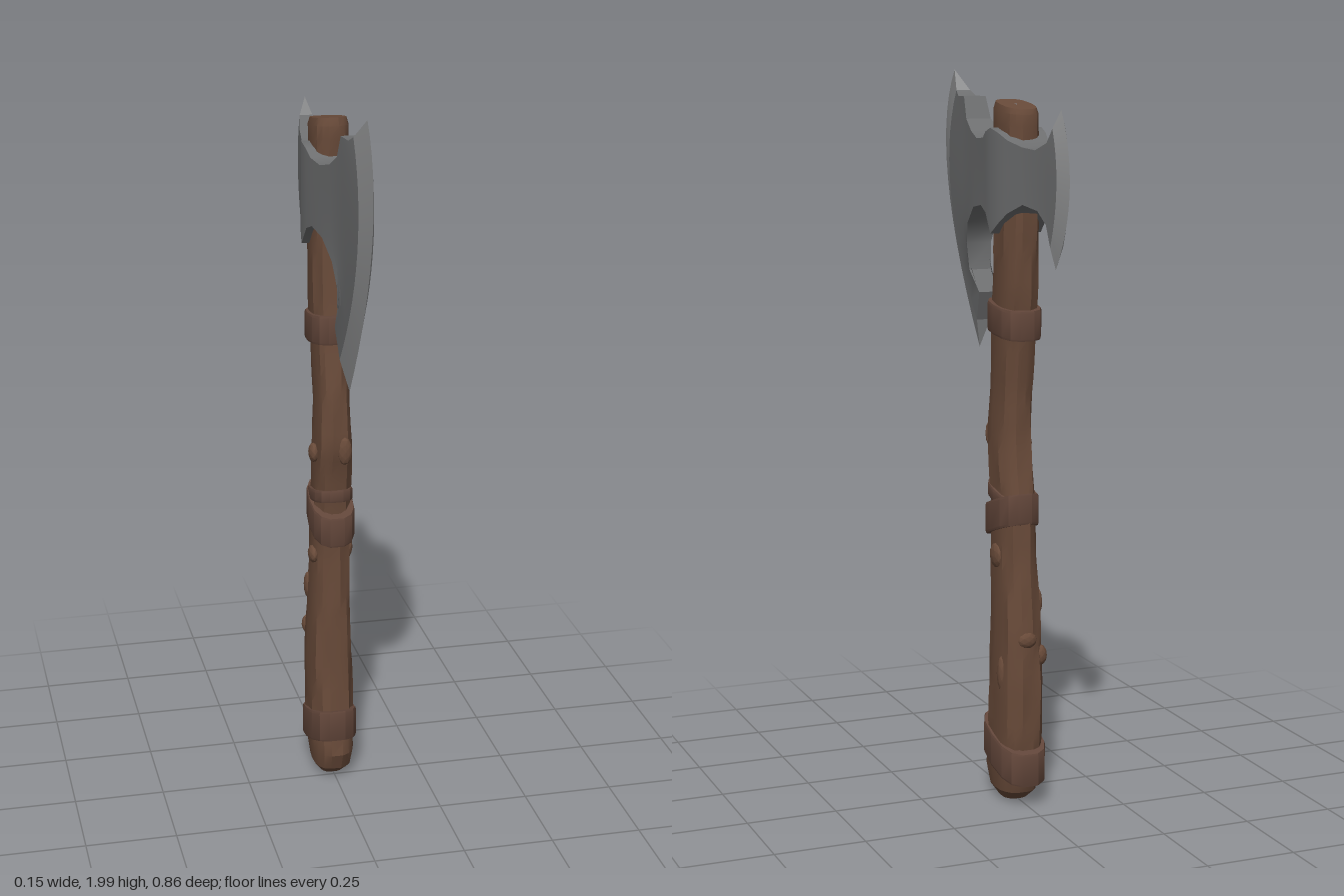
import * as THREE from 'three';
import { toCreasedNormals } from 'three/addons/utils/BufferGeometryUtils.js';

const paint = (name, color) => Object.assign(new THREE.MeshStandardMaterial({ color }), { name });

// Skins a row of closed rings, each wound right-handed about the direction of travel
function loft(rings, crease = 0.5) {
  const pos = [], index = [], n = rings[0].length;
  rings.forEach((ring) => ring.forEach((p) => pos.push(p.x, p.y, p.z)));
  for (let i = 0; i < rings.length - 1; i++) {
    for (let j = 0; j < n; j++) {
      const a = i * n + j, b = i * n + ((j + 1) % n);
      index.push(a, b, b + n, a, b + n, a + n);
    }
  }
  const geo = new THREE.BufferGeometry();
  geo.setAttribute('position', new THREE.Float32BufferAttribute(pos, 3));
  geo.setIndex(index);
  return toCreasedNormals(geo, crease);
}

// Rounded-box ring around the haft; slope tips it along z
function haftRing(y, zFront, zBack, halfX, slope = 0, sides = 18, bark = 0) {
  const cz = (zFront + zBack) / 2, hz = (zFront - zBack) / 2;
  const soft = (v) => Math.sign(v) * Math.abs(v) ** 0.75;
  return Array.from({ length: sides }, (_, k) => {
    const a = (k / sides) * Math.PI * 2;
    const r = 1 + bark * (Math.sin(5 * a + 7 * y) * Math.sin(13 * y + 2 * a) + 0.7 * Math.sin(8 * a - 9 * y));
    const z = -soft(Math.sin(a)) * hz * r;
    return new THREE.Vector3(soft(Math.cos(a)) * halfX * r, y + slope * z, cz + z);
  });
}

// Haft stations: y, front z, back z, half width, slope
const HAFT = [
  [0.01, -0.05, -0.06, 0.004, 0], [0.012, -0.01, -0.1, 0.035, 0], [0.04, 0.025, -0.135, 0.054, 0],
  [0.09, 0.045, -0.152, 0.06, 0], [0.2, 0.03, -0.168, 0.062, 0], [0.35, 0.018, -0.17, 0.063, 0],
  [0.5, 0.01, -0.163, 0.058, 0], [0.7, 0.008, -0.142, 0.053, 0], [0.85, 0.018, -0.138, 0.05, 0],
  [0.95, 0.032, -0.118, 0.051, 0], [1.03, 0.052, -0.11, 0.05, 0], [1.15, 0.04, -0.115, 0.046, 0],
  [1.3, 0.02, -0.132, 0.049, 0], [1.42, 0.008, -0.148, 0.051, 0], [1.6, 0.0, -0.155, 0.051, 0],
  [1.9, 0.002, -0.153, 0.05, 0.1], [1.918, -0.006, -0.147, 0.045, 0.16], [1.918, -0.07, -0.08, 0.004, 0.16],
];

function buildHaft() {
  const rings = [];
  HAFT.forEach((s, i) => {
    const next = HAFT[i + 1];
    const steps = next ? Math.max(1, Math.round((next[0] - s[0]) / 0.035)) : 1;
    for (let k = 0; k < steps; k++) {
      const v = s.map((c, m) => (next ? THREE.MathUtils.lerp(c, next[m], k / steps) : c));
      const bark = v[0] > 0.1 && v[0] < 1.85 ? 0.045 : 0.01;
      rings.push(haftRing(...v, 18, bark));
    }
  });
  return loft(rings, 0.45);
}

// Flat strap with a rectangular section
function buildBand(y, height, zFront, zBack, halfX, slope, sides = 14) {
  const t = 0.022, h = height / 2;
  const ring = (dy, d) => haftRing(y + dy, zFront - d, zBack + d, halfX - d, slope, sides);
  return loft([ring(-h, t), ring(-h, 0.002), ring(-h + 0.006, 0), ring(h - 0.006, 0), ring(h, 0.002), ring(h, t)], 0.4);
}

// Axe head ribs from front edge to back edge: half thickness, top z,y, middle z,y, bottom z,y
const RIBS = [
  [0, 0.37, 2.0, 0.425, 1.69, 0.185, 1.24],
  [0.02, 0.305, 1.945, 0.352, 1.66, 0.155, 1.32],
  [0.026, 0.275, 1.93, 0.29, 1.66, 0.122, 1.4],
  [0.032, 0.217, 1.93, 0.235, 1.69, 0.18, 1.457],
  [0.036, 0.19, 1.87, 0.195, 1.7, 0.19, 1.53],
  [0.043, 0.137, 1.84, 0.15, 1.71, 0.164, 1.59],
  [0.054, 0.07, 1.823, 0.08, 1.73, 0.095, 1.637],
  [0.064, 0.0, 1.828, 0.005, 1.73, 0.016, 1.648],
  [0.069, -0.03, 1.845, -0.03, 1.73, -0.03, 1.632],
  [0.073, -0.074, 1.857, -0.074, 1.72, -0.074, 1.579],
  [0.067, -0.116, 1.845, -0.116, 1.73, -0.116, 1.61],
  [0.058, -0.153, 1.828, -0.153, 1.73, -0.153, 1.637],
  [0.041, -0.21, 1.812, -0.21, 1.735, -0.217, 1.664],
  [0.029, -0.27, 1.807, -0.28, 1.73, -0.286, 1.653],
  [0.023, -0.33, 1.828, -0.335, 1.725, -0.328, 1.62],
  [0.018, -0.355, 1.865, -0.382, 1.72, -0.344, 1.563],
  [0, -0.37, 1.913, -0.424, 1.71, -0.34, 1.505],
];

// Each rib is a curve down the left face and back up the right face
function ribRing([x, tz, ty, mz, my, bz, by]) {
  const curve = new THREE.QuadraticBezierCurve(
    new THREE.Vector2(tz, ty),
    new THREE.Vector2(2 * mz - (tz + bz) / 2, 2 * my - (ty + by) / 2),
    new THREE.Vector2(bz, by));
  const pts = curve.getPoints(14);
  const side = (s) => pts.map((p) => new THREE.Vector3(s * x, p.y, p.x));
  return [...side(1), ...side(-1).reverse()];
}

export function createModel() {
  const wood = paint('wood', 0x684a39);
  const strap = paint('strap', 0x62463a);
  const steel = paint('steel', 0x6e6f70);
  const honed = paint('honed steel', 0x8e8f90);
  const model = new THREE.Group();
  model.name = 'battleAxe';
  const add = (name, geo, mat) => {
    const mesh = new THREE.Mesh(geo, mat);
    mesh.name = name;
    model.add(mesh);
    return mesh;
  };

  add('haft', buildHaft(), wood);

  // Straps: y, height, front z, back z, half width, slope
  add('upperBand', buildBand(1.348, 0.08, 0.028, -0.158, 0.062, 0.12), strap);
  add('middleBand', buildBand(0.81, 0.085, 0.045, -0.145, 0.062, -0.33), strap);
  add('middleCord', buildBand(0.865, 0.035, 0.035, -0.143, 0.058, 0.22), strap);
  add('lowerBand', buildBand(0.152, 0.092, 0.05, -0.186, 0.07, 0.3), strap);

  // Bark knots: position, then radii
  [
    [0.05, 0.7, -0.06, 0.014, 0.035, 0.035],
    [-0.052, 0.69, -0.04, 0.014, 0.025, 0.03],
    [-0.054, 1.0, -0.02, 0.014, 0.028, 0.025],
    [0, 0.48, -0.157, 0.028, 0.024, 0.016],
    [-0.045, 0.43, -0.14, 0.02, 0.03, 0.018],
    [-0.054, 0.57, -0.1, 0.012, 0.04, 0.022],
    [0.056, 0.38, -0.11, 0.012, 0.05, 0.018],
    [0.02, 1.02, 0.044, 0.02, 0.04, 0.012],
  ].forEach(([x, y, z, rx, ry, rz]) => {
    const knot = add('barkKnot', toCreasedNormals(new THREE.IcosahedronGeometry(1, 1), 0.5), wood);
    knot.position.set(x, y, z);
    knot.scale.set(rx, ry, rz);
  });

  // Head: steel body between two honed cutting edges
  const rings = RIBS.map(ribRing), last = rings.length - 1;
  add('axeHead', loft(rings.slice(1, last), 0.6), steel);
  add('frontCuttingEdge', loft(rings.slice(0, 2), 0.6), honed);
  add('backCuttingEdge', loft(rings.slice(last - 1), 0.6), honed);

  return model;
}
